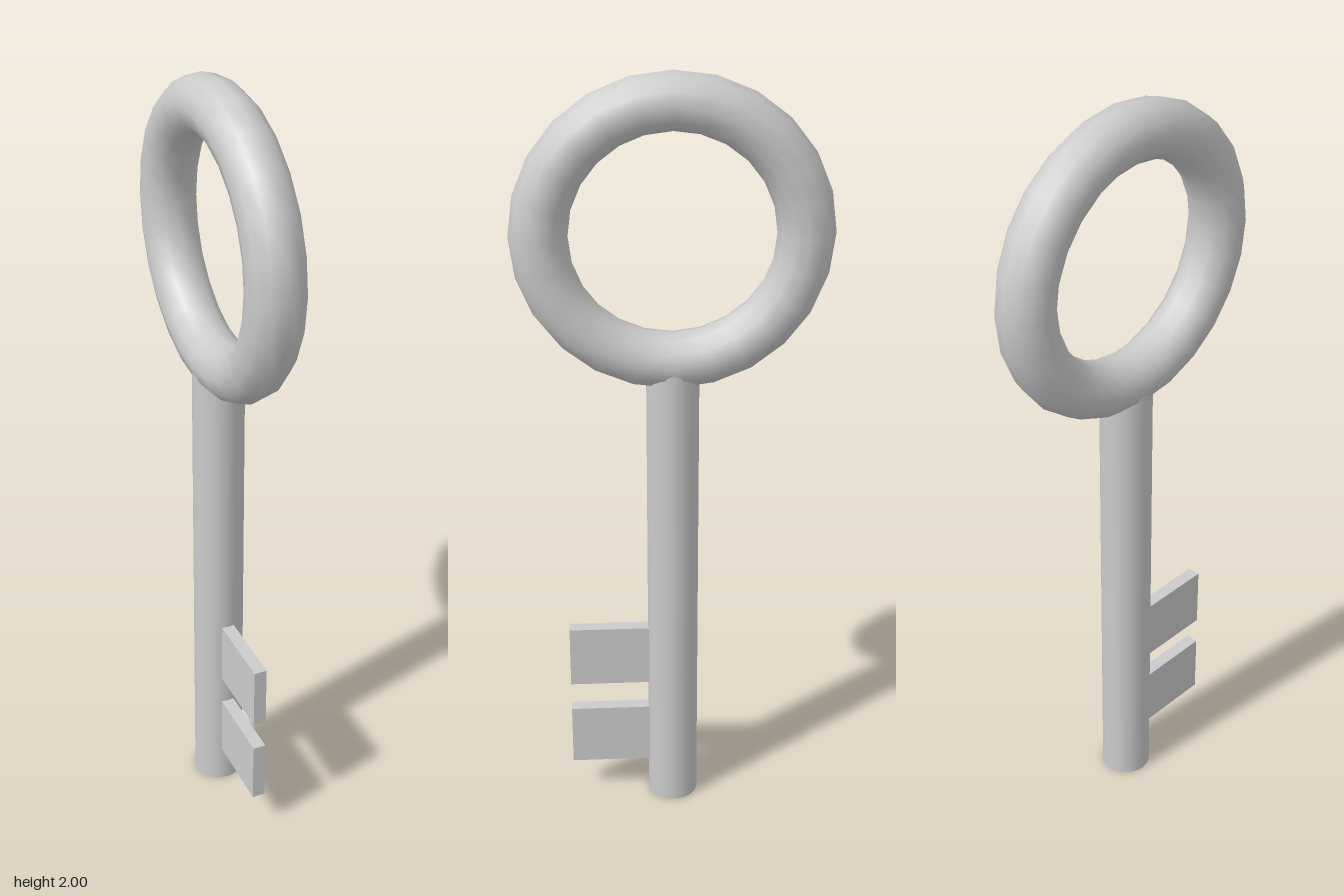
import * as THREE from 'three';

export function createModel() {
  const model = new THREE.Group();
  const material = new THREE.MeshStandardMaterial({ color: 0xcccccc });

  const add = (name, geometry, x, y, z) => {
    const mesh = new THREE.Mesh(geometry, material);
    mesh.name = name;
    mesh.position.set(x, y, z);
    model.add(mesh);
    return mesh;
  };

  // Ring handle, standing in the y-z plane
  const ring = add('ringHandle', new THREE.TorusGeometry(0.321, 0.071, 12, 24), 0, 1.61, 0);
  ring.rotation.y = Math.PI / 2;

  // Round shaft, its top buried in the ring
  const shaftHeight = 1.28;
  add('shaft', new THREE.CylinderGeometry(0.066, 0.066, shaftHeight, 24), 0, shaftHeight / 2, 0);

  // Two flat teeth pointing forward, rooted inside the shaft
  const toothRoot = 0.03, toothTip = 0.275;
  [['lowerTooth', 0.19], ['upperTooth', 0.44]].forEach(([name, y]) => {
    const geometry = new THREE.BoxGeometry(0.034, 0.17, toothTip - toothRoot);
    add(name, geometry, 0, y, (toothRoot + toothTip) / 2);
  });

  return model;
}
